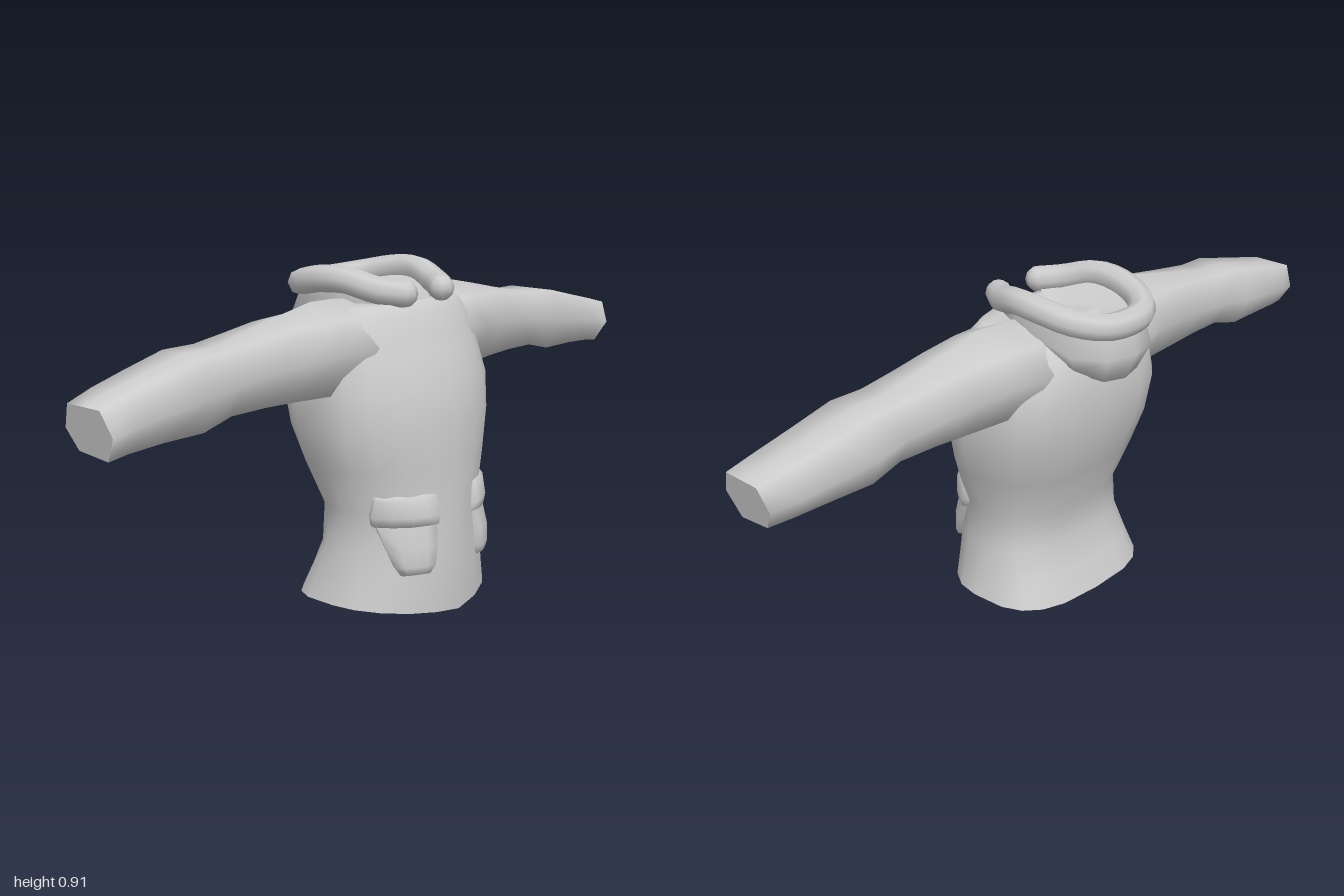
import * as THREE from 'three';

const V = (x, y, z) => new THREE.Vector3(x, y, z);
const cloth = new THREE.MeshStandardMaterial({ color: 0xcccccc, side: THREE.DoubleSide });
cloth.name = 'grey cloth';

// Skins rows of points; optional flat caps on the first and last row
function loft(name, rows, { closed = true, capStart = false, capEnd = false, flip = false } = {}) {
  const pos = [], idx = [], n = rows[0].length;
  rows.forEach(r => r.forEach(p => pos.push(p.x, p.y, p.z)));
  const tri = (a, b, c) => (flip ? idx.push(a, c, b) : idx.push(a, b, c));
  for (let i = 0; i < rows.length - 1; i++) {
    for (let j = 0; j < (closed ? n : n - 1); j++) {
      const k = (j + 1) % n, a = i * n + j, b = i * n + k;
      tri(a, b, b + n);
      tri(a, b + n, a + n);
    }
  }
  const cap = (row, end) => {
    const base = pos.length / 3, c = V(0, 0, 0);
    row.forEach(p => { pos.push(p.x, p.y, p.z); c.addScaledVector(p, 1 / n); });
    pos.push(c.x, c.y, c.z);
    for (let j = 0; j < n; j++) {
      const a = base + j, b = base + (j + 1) % n;
      end ? tri(a, b, base + n) : tri(b, a, base + n);
    }
  };
  if (capStart) cap(rows[0], false);
  if (capEnd) cap(rows[rows.length - 1], true);
  const g = new THREE.BufferGeometry();
  g.setAttribute('position', new THREE.Float32BufferAttribute(pos, 3));
  g.setIndex(idx);
  g.computeVertexNormals();
  const m = new THREE.Mesh(g, cloth);
  m.name = name;
  return m;
}

// Torso sections: height, half width, front z, back z, squareness of the back
const MID = 0.06;
const SECTIONS = [
  [0.03, 0.27, 0.27, -0.15, 3], [0.1, 0.252, 0.27, -0.12, 2.8], [0.18, 0.236, 0.268, -0.09, 2.5],
  [0.28, 0.227, 0.262, -0.094, 2.4], [0.4, 0.272, 0.258, -0.14, 2.5], [0.5, 0.295, 0.255, -0.17, 2.8],
  [0.6, 0.3, 0.24, -0.18, 3.2], [0.68, 0.285, 0.205, -0.172, 3.2], [0.74, 0.27, 0.178, -0.155, 2.8],
  [0.785, 0.25, 0.155, -0.12, 2.4], [0.815, 0.21, 0.13, -0.09, 2], [0.815, 0.13, 0.11, -0.07, 2],
  [0.8, 0.02, 0.03, 0.0, 2],
];

function torso() {
  const N = 20;
  const rows = SECTIONS.map(([y, w, zf, zb, sq], i) => Array.from({ length: N }, (_, j) => {
    const a = j / N * Math.PI * 2, s = Math.sin(a), c = Math.cos(a);
    // superellipse: round in front, squarer behind
    const e = 2 / (c < -1e-6 ? sq : 2);
    const x = Math.sign(s) * Math.abs(s) ** e, z = Math.sign(c) * Math.abs(c) ** e;
    // the hem dips to a point at the front
    const hem = i ? y : c > 0 ? 0.035 * Math.abs(s) : 0.035 + 0.01 * c;
    return V(w * x, hem, MID + z * (c > 0 ? zf - MID : MID - zb));
  }));
  return loft('torso', rows, { capStart: true, capEnd: true });
}

// Front surface of the torso at x, y, pushed outward by d
function onTorso(x, y, d) {
  let i = 0;
  while (i < SECTIONS.length - 2 && SECTIONS[i + 1][0] < y) i++;
  const a = SECTIONS[i], b = SECTIONS[i + 1], t = (y - a[0]) / (b[0] - a[0]);
  const w = a[1] + (b[1] - a[1]) * t, zf = a[2] + (b[2] - a[2]) * t;
  const z = MID + (zf - MID) * Math.sqrt(Math.max(0, 1 - (x / w) ** 2));
  const out = V(x, 0, z - MID).normalize();
  return V(x, y, z).addScaledVector(out, d);
}

// Padded patch; each row is y, inner x, outer x, thickness
function patch(name, side, table) {
  const us = [0, 0.05, 0.25, 0.5, 0.75, 0.95, 1];
  const rows = table.map(([y, x0, x1, d]) => us.map((u, j) => {
    const edge = j === 0 || j === us.length - 1;
    const p = onTorso(x0 + (x1 - x0) * u, y, edge ? -0.005 : d * (0.7 + 0.3 * Math.sin(u * Math.PI)));
    p.x *= side;
    return p;
  }));
  return loft(name, rows, { closed: false, flip: side < 0 });
}

function pocket(side) {
  const g = new THREE.Group();
  g.name = side > 0 ? 'leftPocket' : 'rightPocket';
  g.add(patch('pocketPouch', side, [
    [0.12, 0.108, 0.165, -0.008], [0.128, 0.1, 0.175, 0.014], [0.15, 0.087, 0.185, 0.022],
    [0.2, 0.08, 0.196, 0.024], [0.26, 0.074, 0.208, 0.014],
  ]));
  g.add(patch('pocketFlap', side, [
    [0.25, 0.072, 0.208, -0.005], [0.256, 0.07, 0.212, 0.018], [0.28, 0.068, 0.212, 0.024],
    [0.325, 0.072, 0.218, 0.012], [0.336, 0.074, 0.218, -0.005],
  ]));
  return g;
}

// Sleeve sections: x, top, bottom, front z, back z, roundness of the shoulder
function sleeve(side) {
  const rows = [
    [0.1, 0.822, 0.62, 0.13, -0.12, 0.03], [0.2, 0.83, 0.6, 0.155, -0.155, 0.04],
    [0.28, 0.832, 0.602, 0.142, -0.137, 0.04], [0.4, 0.808, 0.605, 0.118, -0.122, 0.02],
    [0.5, 0.786, 0.607, 0.106, -0.11, 0.01], [0.61, 0.763, 0.605, 0.098, -0.1, 0],
    [0.7, 0.761, 0.583, 0.105, -0.11, 0], [0.82, 0.733, 0.582, 0.1, -0.102, 0],
    [0.92, 0.71, 0.577, 0.097, -0.09, 0], [1, 0.69, 0.57, 0.093, -0.07, 0],
  ].map(([x, top, bot, zf, zb, r]) => {
    const cz = (zf + zb) / 2, h = (zf - zb) / 2, my = (top + bot) / 2;
    // corners from the back, over the top, to the front and underneath
    return [[-1, my], [-0.68, top - r], [0, top], [0.68, top - r], [1, my], [0.58, bot], [-0.62, bot + 0.01]]
      .map(([k, y]) => V(side * (x - (x > 0.95 ? (top - y) * 0.2 : 0)), y, cz + k * h));
  });
  return loft(side > 0 ? 'leftSleeve' : 'rightSleeve', rows, { capEnd: true, flip: side < 0 });
}

// Mirrors a half outline that ends on the centre line
const horseshoe = half => [
  ...half.map(p => V(...p)),
  ...half.slice(0, -1).reverse().map(([x, y, z]) => V(-x, y, z)),
];

function hood() {
  const g = new THREE.Group();
  g.name = 'hood';
  const rim = horseshoe([
    [0.075, 0.842, 0.14], [0.115, 0.85, 0.085], [0.147, 0.873, 0], [0.15, 0.87, -0.08],
    [0.125, 0.852, -0.17], [0.07, 0.84, -0.225], [0, 0.837, -0.238],
  ]);
  const bulge = horseshoe([
    [0.075, 0.81, 0.13], [0.125, 0.81, 0.07], [0.158, 0.82, 0], [0.16, 0.8, -0.08],
    [0.142, 0.765, -0.175], [0.085, 0.76, -0.25], [0, 0.76, -0.272],
  ]);
  const low = horseshoe([
    [0.07, 0.785, 0.12], [0.12, 0.785, 0.07], [0.15, 0.785, 0], [0.14, 0.765, -0.08],
    [0.115, 0.72, -0.165], [0.065, 0.69, -0.22], [0, 0.685, -0.235],
  ]);
  const tuck = low.map(p => V(p.x * 0.75, p.y - 0.012, p.z * 0.68));
  g.add(loft('hoodBag', [tuck, low, bulge, rim], { closed: false }));
  // inside of the hood, falling to the neck
  const inner = rim.map(p => V(p.x * 0.75, p.y - 0.025, p.z * 0.78));
  const floor = rim.map(p => V(p.x * 0.3, 0.795, p.z * 0.3));
  g.add(loft('hoodLining', [rim, inner, floor], { closed: false }));

  // padded rim with rounded ends
  const curve = new THREE.CatmullRomCurve3(rim);
  const roll = new THREE.Mesh(new THREE.TubeGeometry(curve, 32, 0.036, 8), cloth);
  roll.name = 'hoodRim';
  g.add(roll);
  for (const end of [rim[0], rim[rim.length - 1]]) {
    const tip = new THREE.Mesh(new THREE.SphereGeometry(0.035, 8, 6), cloth);
    tip.name = 'hoodRimTip';
    tip.position.copy(end);
    g.add(tip);
  }
  return g;
}

export function createModel() {
  const model = new THREE.Group();
  model.name = 'jacket';
  model.add(torso(), hood());
  for (const side of [1, -1]) model.add(sleeve(side), pocket(side));
  return model;
}
